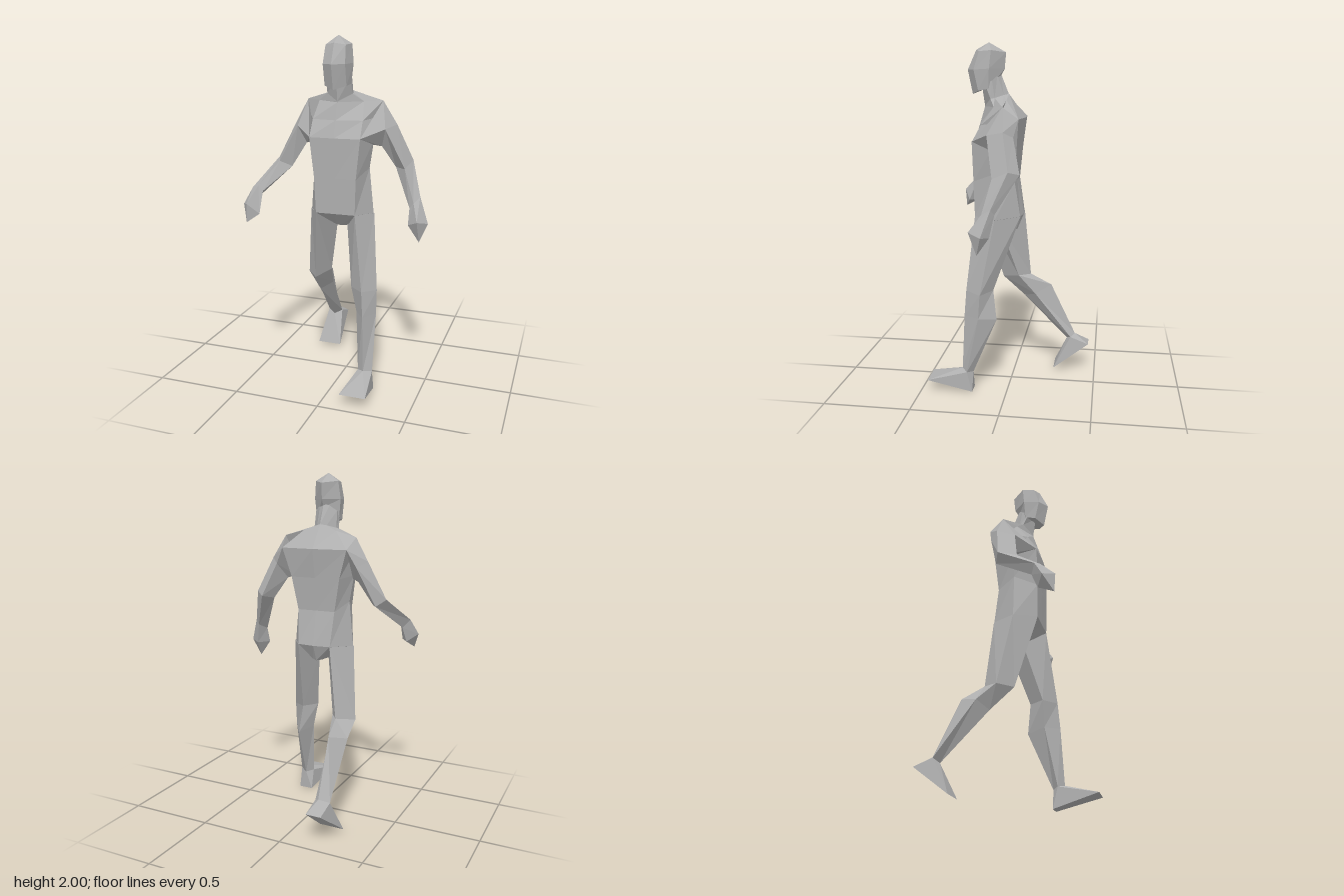
import * as THREE from 'three';
import { ConvexGeometry } from 'three/addons/geometries/ConvexGeometry.js';

const V = (p) => new THREE.Vector3(...p);
const mirror = ([x, y, z]) => [-x, y, z];

// Faceted solid through a list of equal-sized rings; both ends are closed, the last one at an optional tip.
function loft(rings, tip) {
  const r = rings.map((ring) => ring.map(V));
  const n = r[0].length;
  const tris = [];
  const middle = (ring) => ring.reduce((s, p) => s.add(p), new THREE.Vector3()).divideScalar(n);
  const start = middle(r[0]);
  const last = r[r.length - 1];
  const end = tip ? V(tip) : middle(last);
  for (let j = 0; j < n; j++) {
    const k = (j + 1) % n;
    tris.push([start, r[0][k], r[0][j]], [end, last[j], last[k]]);
    for (let i = 0; i < r.length - 1; i++) {
      tris.push([r[i][j], r[i][k], r[i + 1][k]], [r[i][j], r[i + 1][k], r[i + 1][j]]);
    }
  }
  // Turn the faces outward whichever way the rings run.
  const volume = tris.reduce((s, [a, b, c]) =>
    s + a.clone().sub(start).dot(b.clone().sub(start).cross(c.clone().sub(start))), 0);
  if (volume < 0) tris.forEach((t) => t.reverse());
  const geometry = new THREE.BufferGeometry().setFromPoints(tris.flat());
  geometry.computeVertexNormals();
  return geometry;
}

// Symmetric ring: front centre, left-hand points front to back, back centre, mirrored points.
const ring = (front, side, back) => [front, ...side, back, ...side.map(mirror).reverse()];

export function createModel() {
  const group = new THREE.Group();
  const grey = new THREE.MeshStandardMaterial({ color: 0xb0b0b0, flatShading: true });
  grey.name = 'plain grey';
  const add = (name, geometry) => {
    const mesh = new THREE.Mesh(geometry, grey);
    mesh.name = name;
    group.add(mesh);
  };

  // Torso from crotch to the base of the neck
  const neckBase = ring([0, 1.65, 0.152], [[0.074, 1.69, 0.108], [0.07, 1.695, 0.085], [0.03, 1.71, 0.04]], [0, 1.717, 0.015]);
  add('torso', loft([
    ring([0, 0.94, 0.1], [[0.03, 0.94, 0.09], [0.04, 0.94, 0.04], [0.03, 0.94, -0.02]], [0, 0.935, -0.035]),
    ring([0, 1.028, 0.195], [[0.115, 1.028, 0.195], [0.188, 1.02, 0.07], [0.1, 1.03, -0.065]], [0, 1.03, -0.075]),
    ring([0, 1.23, 0.202], [[0.122, 1.23, 0.2], [0.162, 1.28, 0.07], [0.115, 1.23, -0.035]], [0, 1.23, -0.035]),
    ring([0, 1.455, 0.21], [[0.147, 1.455, 0.203], [0.185, 1.43, 0.08], [0.15, 1.42, -0.05]], [0, 1.42, -0.055]),
    ring([0, 1.55, 0.181], [[0.145, 1.55, 0.15], [0.195, 1.56, 0.05], [0.2, 1.585, -0.067]], [0, 1.585, -0.083]),
    ring([0, 1.645, 0.152], [[0.13, 1.648, 0.08], [0.222, 1.65, 0.018], [0.1, 1.683, 0.014]], [0, 1.715, 0.012]),
    neckBase,
  ]));

  // Neck
  add('neck', loft([
    neckBase,
    ring([0, 1.77, 0.17], [[0.066, 1.77, 0.14], [0.066, 1.79, 0.1], [0.03, 1.82, 0.075]], [0, 1.83, 0.06]),
  ]));

  // Head
  add('head', loft([
    ring([0, 1.715, 0.222], [[0.062, 1.735, 0.18], [0.07, 1.745, 0.12]], [0, 1.81, 0.062]),
    ring([0, 1.85, 0.25], [[0.063, 1.85, 0.205], [0.081, 1.855, 0.115]], [0, 1.855, 0.038]),
    ring([0, 1.96, 0.2], [[0.057, 1.95, 0.175], [0.07, 1.955, 0.105]], [0, 1.945, 0.03]),
  ], [0, 2, 0.127]));

  // Arms: shared shoulder, then elbow, wrist and hand rings (outer, front, inner, back)
  const shoulder = [
    [[0.222, 1.65, 0.018], [0.147, 1.457, 0.203], [0.183, 1.41, 0.07], [0.2, 1.585, -0.067]],
    [[0.3, 1.52, 0.005], [0.258, 1.502, 0.1], [0.225, 1.4, 0.045], [0.25, 1.49, -0.045]],
  ];
  add('leftArm', loft([
    ...shoulder,
    [[0.387, 1.32, -0.035], [0.36, 1.28, 0.055], [0.295, 1.28, 0], [0.327, 1.3, -0.09]],
    [[0.45, 1.13, 0.047], [0.425, 1.1, 0.1], [0.4, 1.07, 0.09], [0.425, 1.1, 0.03]],
    [[0.507, 0.99, 0.093], [0.46, 1.01, 0.166], [0.4, 0.98, 0.12], [0.45, 0.98, 0.055]],
  ], [0.465, 0.887, 0.12]));
  add('rightArm', loft([
    ...shoulder.map((s) => s.map(mirror)),
    [[-0.4, 1.31, 0.038], [-0.357, 1.3, 0.137], [-0.3, 1.265, 0.09], [-0.345, 1.27, 0.013]],
    [[-0.47, 1.165, 0.26], [-0.425, 1.18, 0.285], [-0.4, 1.15, 0.28], [-0.43, 1.12, 0.235]],
    [[-0.507, 1.075, 0.307], [-0.46, 1.09, 0.369], [-0.4, 1.03, 0.332], [-0.445, 1.03, 0.27]],
  ], [-0.465, 0.983, 0.362]));

  // Legs: diamond rings at hip, knee, calf and ankle (outer, front, inner, back)
  const hip = [[0.192, 1.02, 0.07], [0.115, 1.028, 0.195], [0.03, 0.94, 0.07], [0.1, 1.03, -0.067]];
  const leftAnkle = [[0.235, 0.12, 0.23], [0.19, 0.13, 0.263], [0.15, 0.12, 0.23], [0.19, 0.11, 0.198]];
  add('leftLeg', loft([
    hip,
    [[0.235, 0.59, 0.15], [0.17, 0.6, 0.24], [0.088, 0.6, 0.17], [0.15, 0.6, 0.085]],
    [[0.235, 0.45, 0.16], [0.18, 0.45, 0.25], [0.12, 0.45, 0.17], [0.17, 0.43, 0.063]],
    leftAnkle,
  ]));
  const rightAnkle = [[-0.24, 0.22, -0.35], [-0.195, 0.2, -0.325], [-0.15, 0.22, -0.35], [-0.18, 0.238, -0.375]];
  add('rightLeg', loft([
    hip.map(mirror),
    [[-0.242, 0.6, -0.01], [-0.17, 0.595, 0.072], [-0.105, 0.62, -0.03], [-0.155, 0.62, -0.1]],
    [[-0.242, 0.52, -0.12], [-0.19, 0.47, -0.06], [-0.13, 0.5, -0.13], [-0.17, 0.552, -0.225]],
    rightAnkle,
  ]));

  // Wedge-shaped feet: ankle, heel edge and toe edge
  const foot = (name, points) => add(name, new ConvexGeometry(points.map(V)));
  foot('leftFoot', [...leftAnkle, [0.15, 0, 0.2], [0.235, 0, 0.2], [0.112, 0.07, 0.459], [0.264, 0.07, 0.459]]);
  foot('rightFoot', [...rightAnkle, [-0.235, 0.18, -0.46], [-0.145, 0.18, -0.46],
    [-0.277, 0.02, -0.247], [-0.13, 0.02, -0.247]]);

  return group;
}
